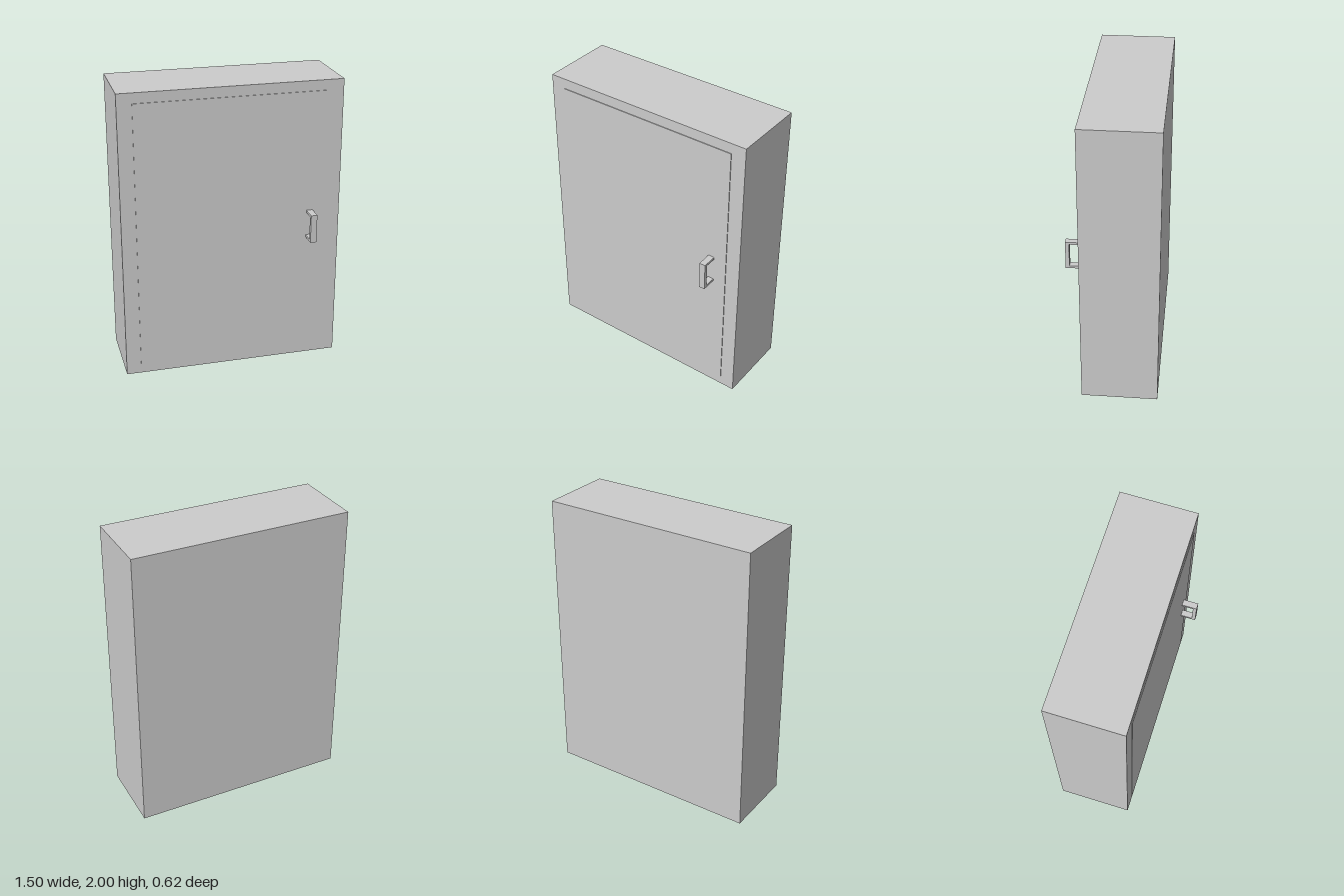
import * as THREE from 'three';

export function createModel() {
  const model = new THREE.Group();
  model.name = 'cabinet';
  const material = new THREE.MeshStandardMaterial({ color: 0xcccccc });

  // Box given by its minimum and maximum corners
  function addBox(name, [x0, y0, z0], [x1, y1, z1]) {
    const mesh = new THREE.Mesh(new THREE.BoxGeometry(x1 - x0, y1 - y0, z1 - z0), material);
    mesh.position.set((x0 + x1) / 2, (y0 + y1) / 2, (z0 + z1) / 2);
    mesh.name = name;
    model.add(mesh);
  }

  // Cabinet body and the thin door panel standing proud of its front
  const front = 0.202, doorFront = 0.207;
  addBox('body', [-0.75, 0, -0.311], [0.75, 2, front]);
  addBox('door', [-0.65, 0.07, front - 0.01], [0.65, 1.93, doorFront]);

  // Square bracket handle, drawn in side profile and extruded across its width
  const z0 = doorFront - 0.005, z1 = 0.311, y0 = 0.903, y1 = 1.1;
  const arm = 0.017, grip = 0.025, width = 0.043;
  const profile = new THREE.Shape([
    [z0, y0], [z1, y0], [z1, y1], [z0, y1],
    [z0, y1 - arm], [z1 - grip, y1 - arm], [z1 - grip, y0 + arm], [z0, y0 + arm],
  ].map(([z, y]) => new THREE.Vector2(z, y)));
  const geometry = new THREE.ExtrudeGeometry(profile, { depth: width, bevelEnabled: false });
  geometry.rotateY(-Math.PI / 2); // profile x becomes z, extrusion runs along -x
  const handle = new THREE.Mesh(geometry, material);
  handle.position.x = 0.538 + width / 2;
  handle.name = 'handle';
  model.add(handle);

  return model;
}
